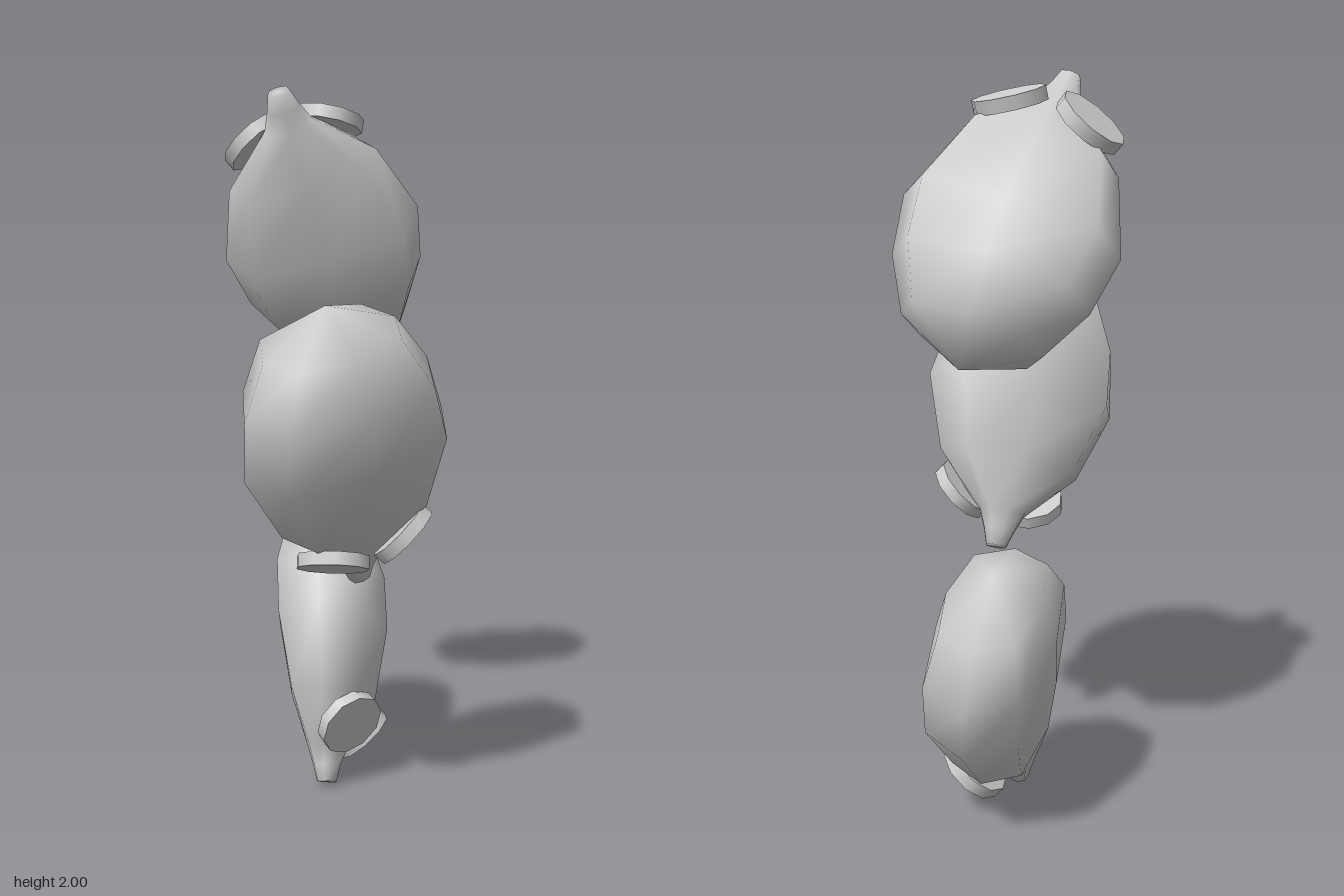
import * as THREE from 'three';
import { mergeVertices } from 'three/addons/utils/BufferGeometryUtils.js';

const material = new THREE.MeshStandardMaterial({ color: 0xcccccc });

// Sections from nose to tail: [distance, half width, top, bottom]
const SECTIONS = [
  [0, 0, 0, 0],
  [0.0, 0.03, 0.028, -0.03],
  [0.045, 0.045, 0.036, -0.044],
  [0.1, 0.068, 0.056, -0.064],
  [0.25, 0.215, 0.133, -0.122],
  [0.46, 0.29, 0.16, -0.172],
  [0.62, 0.262, 0.145, -0.192],
  [0.76, 0.185, 0.09, -0.172],
  [0.85, 0, -0.055, -0.055],
];

// Egg-shaped body: eight-sided loops, slightly squared, closed by a point at each end
function bodyGeometry() {
  const sides = 8;
  const positions = [];
  const index = [];
  SECTIONS.forEach(([t, w, top, bottom], i) => {
    const mid = (top + bottom) / 2, h = (top - bottom) / 2;
    for (let j = 0; j < sides; j++) {
      const a = (j / sides) * Math.PI * 2;
      const k = j % 2 ? 1.1 : 1;
      positions.push(Math.cos(a) * w * k, mid + Math.sin(a) * h * k, -t);
      if (i === SECTIONS.length - 1) continue;
      const p = i * sides + j, q = i * sides + ((j + 1) % sides);
      if (i < SECTIONS.length - 2) index.push(p + sides, q + sides, q);
      if (i > 0) index.push(p, p + sides, q);
    }
  });
  const g = new THREE.BufferGeometry();
  g.setAttribute('position', new THREE.Float32BufferAttribute(positions, 3));
  g.setIndex(index);
  const merged = mergeVertices(g, 1e-4);
  merged.computeVertexNormals();
  return merged;
}

// One mouse: nose tip at the origin, facing +z, back towards +y
function createMouse(bodyGeo, earGeo) {
  const mouse = new THREE.Group();
  const body = new THREE.Mesh(bodyGeo, material);
  body.name = 'body';
  mouse.add(body);
  for (const side of [1, -1]) {
    const ear = new THREE.Mesh(earGeo, material);
    ear.name = side > 0 ? 'leftEar' : 'rightEar';
    const normal = new THREE.Vector3(side * 0.43, 0.63, 0.64).normalize();
    ear.quaternion.setFromUnitVectors(new THREE.Vector3(0, 1, 0), normal);
    ear.position.set(side * 0.112, 0.08, -0.155).addScaledVector(normal, -0.01);
    mouse.add(ear);
  }
  return mouse;
}

export function createModel() {
  const model = new THREE.Group();
  model.name = 'threeMice';
  const bodyGeo = bodyGeometry();
  const earGeo = new THREE.CylinderGeometry(0.098, 0.098, 0.036, 10);

  // Nose position, facing direction and direction of the back
  const placements = [
    ['lowerMouse', [0.02, 0.015, -0.04], [-0.4, -0.88, 0.28], [0.545, 0.044, 0.84]],
    ['middleMouse', [-0.005, 0.67, 0.1], [0.4, -0.87, -0.25], [-0.28, -0.38, 0.88]],
    ['upperMouse', [-0.088, 1.985, -0.118], [-0.56, 0.8, 0.17], [0.545, 0.53, -0.64]],
  ];
  for (const [name, nose, facing, back] of placements) {
    const mouse = createMouse(bodyGeo, earGeo);
    mouse.name = name;
    const z = new THREE.Vector3(...facing).normalize();
    const x = new THREE.Vector3(...back).cross(z).normalize();
    const y = new THREE.Vector3().crossVectors(z, x);
    mouse.quaternion.setFromRotationMatrix(new THREE.Matrix4().makeBasis(x, y, z));
    mouse.position.set(...nose);
    model.add(mouse);
  }
  return model;
}
